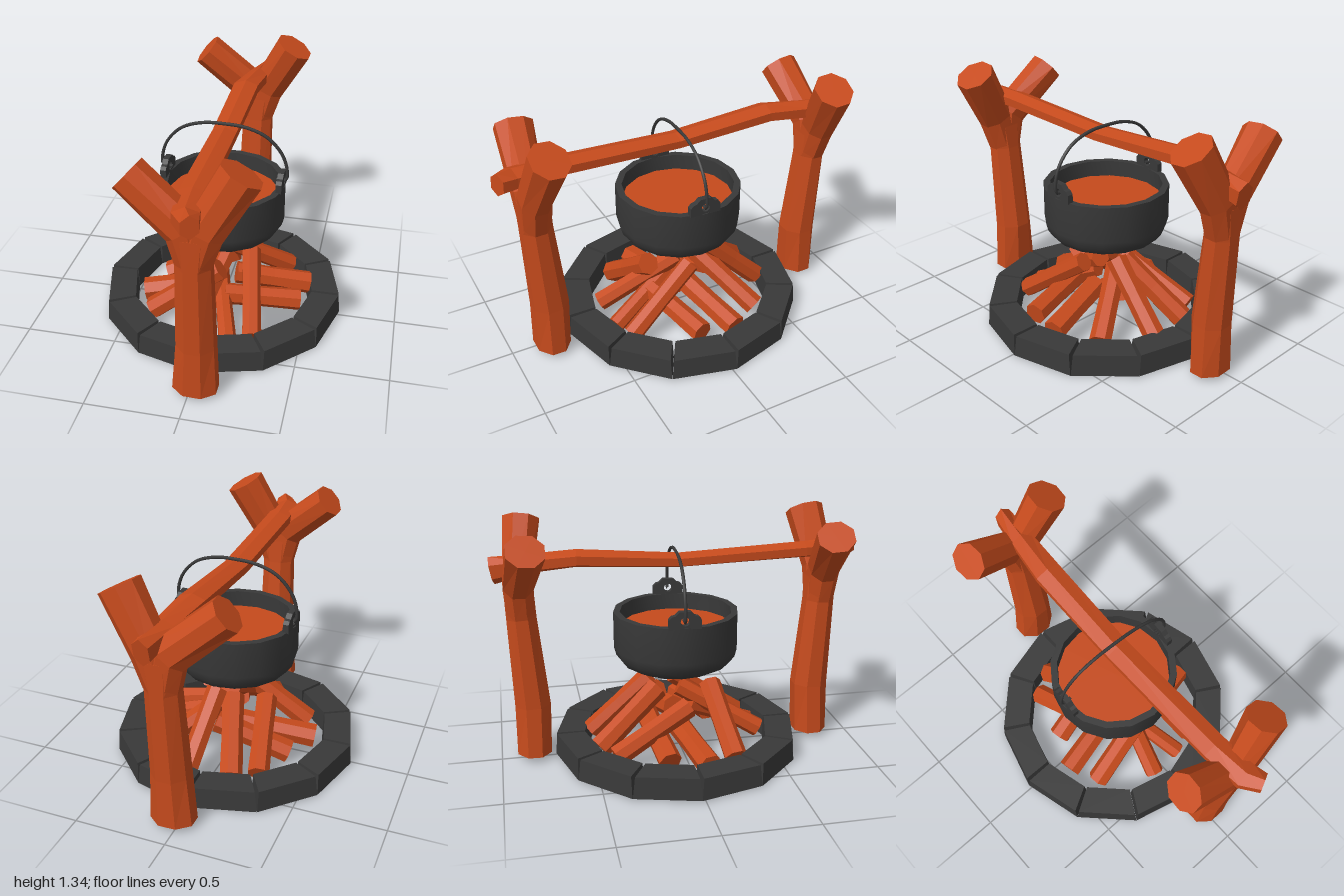
import * as THREE from 'three';
import { toCreasedNormals } from 'three/addons/utils/BufferGeometryUtils.js';

const V = (x, y, z) => new THREE.Vector3(x, y, z);
const MID_Z = -0.02; // shared centre of ring, pot and posts

// Faceted branch: rings of [radiusA, radiusB] around each path point, capped at both ends
function loft(points, radii, sides) {
  const dir = points.at(-1).clone().sub(points[0]).normalize();
  const ref = Math.abs(dir.z) < 0.7 ? V(0, 0, 1) : V(0, 1, 0);
  const rings = points.map((p, i) => {
    const t = points[Math.min(i + 1, points.length - 1)].clone().sub(points[Math.max(i - 1, 0)]).normalize();
    const u = ref.clone().cross(t).normalize();
    const v = t.clone().cross(u);
    return Array.from({ length: sides }, (_, k) => {
      const a = ((k + 0.5) / sides) * Math.PI * 2;
      return p.clone().addScaledVector(u, Math.cos(a) * radii[i][0]).addScaledVector(v, Math.sin(a) * radii[i][1]);
    });
  });
  const tris = [];
  const last = rings.length - 1;
  for (let k = 0; k < sides; k++) {
    const n = (k + 1) % sides;
    for (let i = 0; i < last; i++) {
      const [a, b, c, d] = [rings[i][k], rings[i][n], rings[i + 1][n], rings[i + 1][k]];
      tris.push(a, b, c, a, c, d);
    }
    tris.push(points[0], rings[0][n], rings[0][k]);
    tris.push(points[last], rings[last][k], rings[last][n]);
  }
  const geo = new THREE.BufferGeometry().setFromPoints(tris);
  geo.computeVertexNormals();
  return geo;
}

export function createModel() {
  const wood = new THREE.MeshStandardMaterial({ color: 0xc54a1c });
  wood.name = 'wood';
  const iron = new THREE.MeshStandardMaterial({ color: 0x393939 });
  iron.name = 'iron and stone';

  const model = new THREE.Group();
  model.name = 'campfire';
  const add = (parent, name, geo, mat) => {
    const mesh = new THREE.Mesh(geo, mat);
    mesh.name = name;
    parent.add(mesh);
    return mesh;
  };

  // Ring of twelve wedge stones: box corners bent to angle and radius
  const ring = new THREE.Group();
  ring.name = 'stoneRing';
  ring.position.z = MID_Z;
  model.add(ring);
  for (let i = 0; i < 12; i++) {
    const geo = new THREE.BoxGeometry(1, 1, 1).toNonIndexed();
    const pos = geo.attributes.position;
    for (let k = 0; k < pos.count; k++) {
      const top = pos.getY(k) > 0;
      const a = (i + 0.5 + pos.getX(k) * (top ? 0.94 : 0.995)) * Math.PI / 6;
      const r = pos.getZ(k) > 0 ? (top ? 0.673 : 0.683) : (top ? 0.518 : 0.512);
      pos.setXYZ(k, Math.sin(a) * r, top ? 0.12 : 0, Math.cos(a) * r);
    }
    geo.computeVertexNormals();
    add(ring, 'stone', geo, iron);
  }

  // Forked posts, mirrored front and back
  for (const s of [1, -1]) {
    const post = new THREE.Group();
    post.name = s > 0 ? 'frontPost' : 'backPost';
    model.add(post);
    const P = (x, y, z) => V(x, y, MID_Z + s * z);
    add(post, 'trunk', loft(
      [P(0.03, 0.02, 0.80), P(0.037, 0.3, 0.795), P(0.042, 0.8, 0.83), P(0.047, 0.97, 0.838)],
      [[0.124, 0.1], [0.106, 0.104], [0.094, 0.086], [0.128, 0.084]], 8), wood);
    add(post, 'leftBranch', loft(
      [P(0.05, 0.82, 0.832), P(0.095, 0.99, 0.838), P(0.257, 1.28, 0.798)],
      [[0.092, 0.08], [0.105, 0.086], [0.112, 0.105]], 8), wood);
    add(post, 'rightBranch', loft(
      [P(0.035, 0.82, 0.832), P(0.0, 0.99, 0.838), P(-0.27, 1.225, 0.798)],
      [[0.09, 0.08], [0.105, 0.086], [0.095, 0.105]], 8), wood);
  }

  // Crossbeam resting in the forks
  add(model, 'crossbeam', loft(
    [V(0.07, 1.105, 0.985), V(0.03, 1.1, 0.9), V(0.015, 1.1, 0.7), V(0.012, 1.075, 0),
      V(0.02, 1.11, -0.55), V(0.05, 1.085, -0.8), V(0.075, 1.05, -0.99)],
    [[0.05, 0.06], [0.075, 0.055], [0.078, 0.045], [0.075, 0.04],
      [0.08, 0.048], [0.066, 0.052], [0.05, 0.075]], 6), wood);

  // Cooking pot, slightly turned
  const pot = new THREE.Group();
  pot.name = 'pot';
  pot.position.set(0.004, 0, MID_Z);
  pot.rotation.y = -0.05;
  model.add(pot);
  const profile = [[0, 0.464], [0.15, 0.468], [0.24, 0.484], [0.3, 0.515], [0.33, 0.555], [0.342, 0.6], [0.342, 0.8],
    [0.306, 0.8], [0.306, 0.66]].map(([r, y]) => new THREE.Vector2(r, y));
  add(pot, 'potBody', toCreasedNormals(new THREE.LatheGeometry(profile, 16), 0.7), iron);
  const soup = add(pot, 'soup', new THREE.CircleGeometry(0.307, 16), wood);
  soup.rotation.x = -Math.PI / 2;
  soup.position.y = 0.71;

  // Pierced lugs on the rim
  const lug = new THREE.Shape([[-0.085, -0.005], [0.085, -0.005], [0.085, 0.045], [0.07, 0.062], [0.052, 0.066],
    [0.03, 0.088], [-0.03, 0.088], [-0.052, 0.066], [-0.07, 0.062], [-0.085, 0.045]]
    .map(([x, y]) => new THREE.Vector2(x, y)));
  lug.holes.push(new THREE.Path().absarc(0, 0.035, 0.024, 0, Math.PI * 2, true));
  for (const s of [1, -1]) {
    const geo = new THREE.ExtrudeGeometry(lug, { depth: 0.032, bevelEnabled: false, curveSegments: 6 });
    geo.translate(0, 0, -0.016).rotateY(Math.PI / 2);
    const mesh = add(pot, s > 0 ? 'leftLug' : 'rightLug', geo, iron);
    mesh.position.set(s * 0.32, 0.8, 0);
  }

  // Wire handle hooked through the lugs
  const half = [[0.29, 0.835], [0.342, 0.835], [0.348, 0.89], [0.318, 0.985], [0.235, 1.075], [0.12, 1.118]];
  const wire = new THREE.CatmullRomCurve3([
    ...half.map(([x, y]) => V(-x, y, 0)), V(0, 1.126, 0), ...half.toReversed().map(([x, y]) => V(x, y, 0))]);
  add(pot, 'handle', new THREE.TubeGeometry(wire, 48, 0.009, 6), iron);

  // Firewood: outer end, inner end, radius
  const logs = new THREE.Group();
  logs.name = 'firewood';
  model.add(logs);
  [
    [-0.08, 0.09, 0.44, 0.03, 0.34, 0.0, 0.055],
    [0.245, 0.07, 0.39, 0.165, 0.365, -0.01, 0.055],
    [0.12, 0.06, 0.43, 0.0, 0.24, 0.05, 0.05],
    [0.46, 0.12, 0.07, 0.05, 0.17, 0.17, 0.062],
    [0.49, 0.11, -0.12, 0.08, 0.19, -0.02, 0.065],
    [0.35, 0.08, -0.33, 0.02, 0.33, -0.12, 0.06],
    [0.1, 0.08, -0.49, 0.06, 0.4, -0.16, 0.06],
    [-0.14, 0.08, -0.47, -0.02, 0.36, -0.13, 0.064],
    [-0.27, 0.08, -0.4, -0.165, 0.29, 0.02, 0.06],
    [-0.35, 0.06, -0.12, 0.05, 0.22, -0.2, 0.065],
    [-0.44, 0.06, 0.08, 0.02, 0.13, -0.02, 0.068],
    [-0.35, 0.055, 0.24, 0.03, 0.34, 0.18, 0.064],
  ].forEach(([ax, ay, az, bx, by, bz, r]) => {
    const a = V(ax, ay, az), b = V(bx, by, bz);
    const mid = a.clone().lerp(b, 0.5);
    add(logs, 'log', loft([a, mid, b], [[r, r], [r * 0.94, r * 0.94], [r, r]], 7), wood);
  });

  return model;
}
